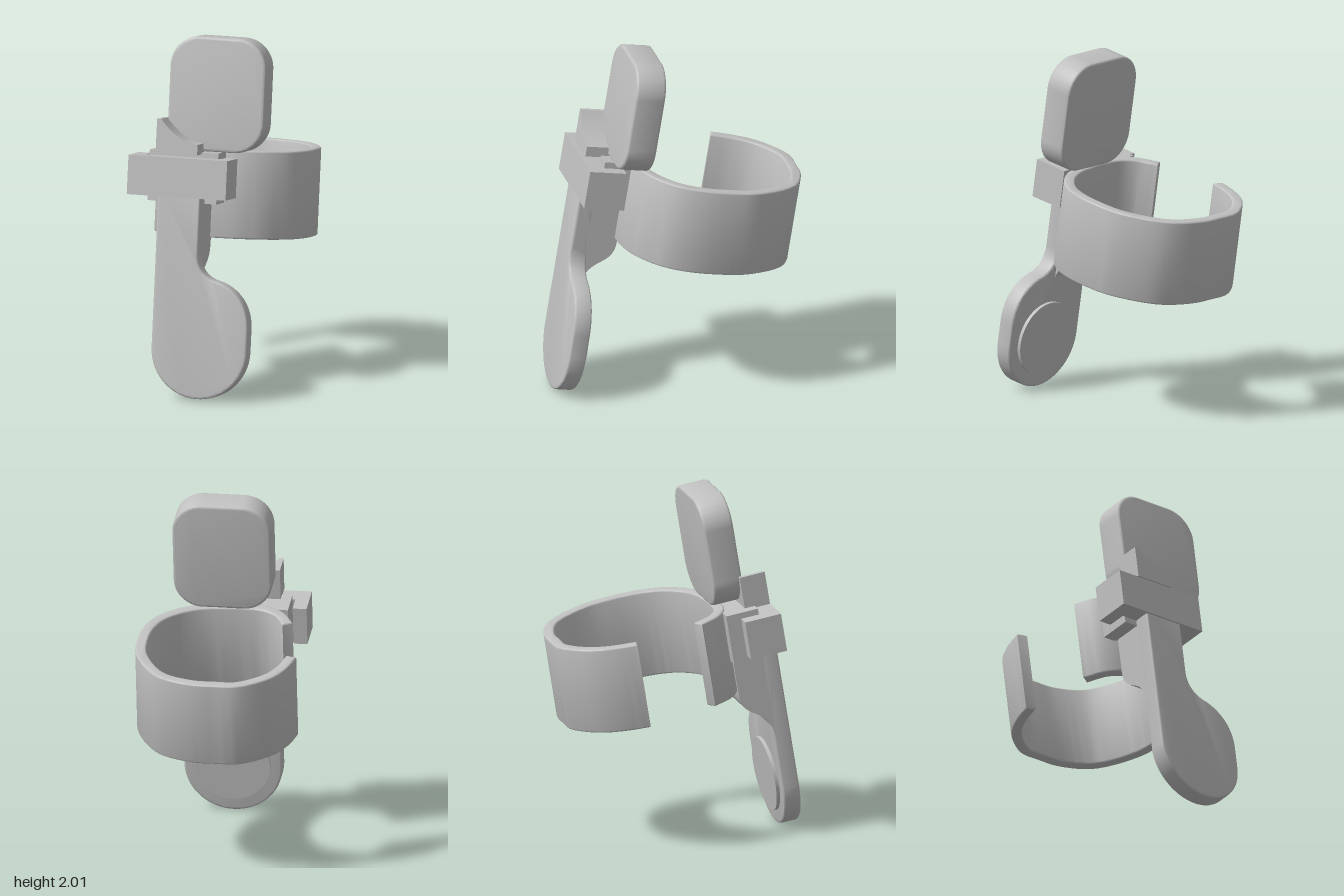
import * as THREE from 'three';
import { toCreasedNormals } from 'three/addons/utils/BufferGeometryUtils.js';

const grey = new THREE.MeshStandardMaterial({ color: 0xc0c0c0 });
grey.name = 'plain grey';

// Extrudes a shape from z0 to z1 with a small rounded edge
function slab(shape, z0, z1, bevel = 0) {
  const geo = new THREE.ExtrudeGeometry(shape, {
    depth: z1 - z0 - 2 * bevel, curveSegments: 20,
    bevelEnabled: bevel > 0, bevelSize: bevel, bevelThickness: bevel,
    bevelOffset: -bevel, bevelSegments: 3,
  });
  geo.translate(0, 0, z0 + bevel);
  return geo;
}

function addPart(parent, name, geo) {
  const mesh = new THREE.Mesh(toCreasedNormals(geo, 0.6), grey);
  mesh.name = name;
  parent.add(mesh);
  return mesh;
}

// Box given by its limits
function addBox(parent, name, x0, x1, y0, y1, z0, z1) {
  const geo = new THREE.BoxGeometry(x1 - x0, y1 - y0, z1 - z0);
  geo.translate((x0 + x1) / 2, (y0 + y1) / 2, (z0 + z1) / 2);
  return addPart(parent, name, geo);
}

function roundedRect(x0, x1, y0, y1, r) {
  const s = new THREE.Shape();
  s.absarc(x1 - r, y0 + r, r, -Math.PI / 2, 0);
  s.absarc(x1 - r, y1 - r, r, 0, Math.PI / 2);
  s.absarc(x0 + r, y1 - r, r, Math.PI / 2, Math.PI);
  s.absarc(x0 + r, y0 + r, r, Math.PI, Math.PI * 1.5);
  s.closePath();
  return s;
}

// Open band: outer curve in plan (x, z), offset inward for thickness
function bandShape(thickness) {
  const pts = [
    [-0.464, -0.143], [-0.43, -0.275], [-0.355, -0.408], [-0.18, -0.532], [-0.04, -0.54],
    [0.1, -0.533], [0.298, -0.446], [0.444, -0.204], [0.467, -0.03], [0.454, 0.134],
    [0.405, 0.264], [0.313, 0.364], [0.2, 0.43], [0.08, 0.46], [-0.2, 0.46],
    [-0.315, 0.39], [-0.385, 0.27],
  ];
  const curve = new THREE.CatmullRomCurve3(pts.map(([x, z]) => new THREE.Vector3(x, -z, 0)));
  const outer = [], inner = [], n = 90;
  for (let i = 0; i <= n; i++) {
    const p = curve.getPointAt(i / n), t = curve.getTangentAt(i / n);
    outer.push(new THREE.Vector2(p.x, p.y));
    inner.push(new THREE.Vector2(p.x + t.y * thickness, p.y - t.x * thickness));
  }
  return new THREE.Shape([...outer, ...inner.reverse()]);
}

export function createModel() {
  const root = new THREE.Group();
  root.name = 'bandWithHandle';
  // The whole model leans back and is turned slightly
  const body = new THREE.Group();
  body.name = 'body';
  body.rotation.set(-0.161, -0.166, 0, 'YXZ');
  root.add(body);

  // Open wrist band
  const band = slab(bandShape(0.062), 0.797, 1.3, 0.01);
  band.rotateX(-Math.PI / 2);
  addPart(body, 'band', band);

  // Upper rounded pad
  addPart(body, 'upperPad', slab(roundedRect(-0.25, 0.315, 1.295, 1.945, 0.17), 0.405, 0.58, 0.015));

  // Slider block on the band and the bar that clasps it
  addBox(body, 'sliderBlock', -0.335, 0.07, 1.0, 1.29, 0.43, 0.62);
  addBox(body, 'barFront', -0.43, 0.153, 1.035, 1.26, 0.62, 0.725);
  addBox(body, 'barWingRight', -0.43, -0.35, 1.035, 1.26, 0.51, 0.62);
  addBox(body, 'barWingLeft', 0.085, 0.153, 1.035, 1.26, 0.51, 0.62);

  // Concave thumb rest above the bar
  const rest = new THREE.Shape();
  rest.moveTo(-0.275, 1.28);
  rest.lineTo(-0.03, 1.28);
  rest.lineTo(-0.03, 1.34);
  rest.quadraticCurveTo(-0.15, 1.35, -0.25, 1.474);
  rest.lineTo(-0.275, 1.474);
  rest.closePath();
  addPart(body, 'thumbRest', slab(rest, 0.56, 0.71));

  // Handle: stem outline flowing into a round paddle
  const paddle = new THREE.Shape();
  paddle.moveTo(-0.25, 1.1);
  paddle.lineTo(-0.25, 0.175);
  paddle.absarc(0.031, 0.175, 0.281, Math.PI, Math.PI * 2);
  paddle.lineTo(0.312, 0.31);
  paddle.bezierCurveTo(0.312, 0.45, 0.22, 0.545, 0.11, 0.57);
  paddle.bezierCurveTo(0.04, 0.59, 0, 0.64, 0, 0.72);
  paddle.lineTo(0, 1.1);
  paddle.closePath();
  addPart(body, 'handle', slab(paddle, 0.613, 0.715, 0.012));

  // Thick stem, side profile (-z, y) swept across its width
  const stem = new THREE.Shape();
  stem.moveTo(-0.7, 1.1);
  stem.lineTo(-0.45, 1.1);
  stem.lineTo(-0.45, 0.78);
  stem.bezierCurveTo(-0.45, 0.62, -0.613, 0.68, -0.62, 0.5);
  stem.lineTo(-0.7, 0.5);
  stem.closePath();
  const stemGeo = slab(stem, -0.25, 0);
  stemGeo.rotateY(Math.PI / 2);
  // the sweep axis is now x and the profile runs along z
  addPart(body, 'stem', stemGeo);

  // Shallow disc on the back of the paddle
  const disc = new THREE.CylinderGeometry(0.215, 0.215, 0.04, 64);
  disc.rotateX(Math.PI / 2);
  disc.translate(0.031, 0.19, 0.613);
  addPart(body, 'backDisc', disc);

  return root;
}
